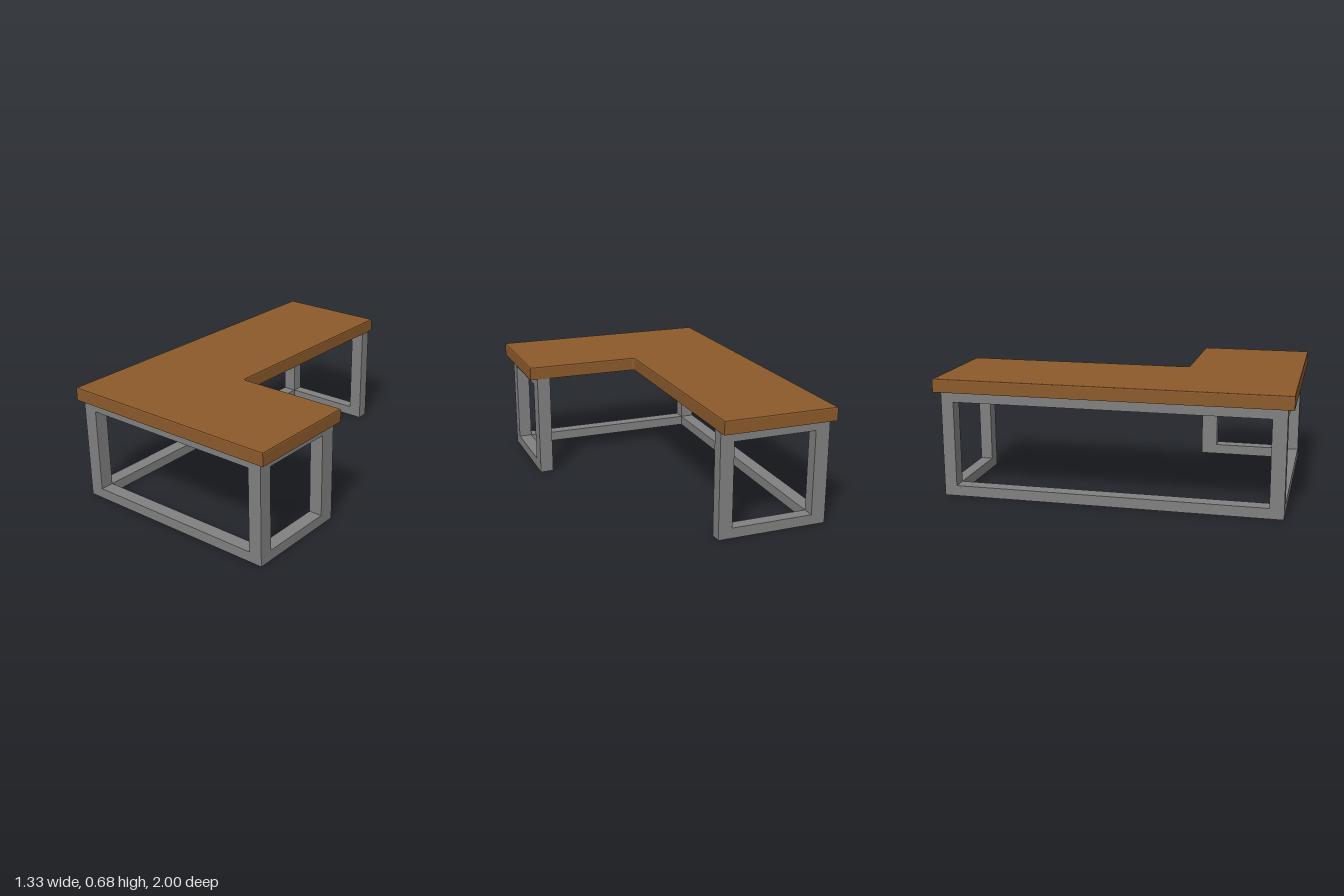
import * as THREE from 'three';

const wood = new THREE.MeshStandardMaterial({ color: 0x8b5a2b });
wood.name = 'brown wood';
const steel = new THREE.MeshStandardMaterial({ color: 0x808080 });
steel.name = 'grey steel';

const FRAME_TOP = 0.605, DESK_TOP = 0.682;
const RAIL_LOW = 0.06, RAIL_HIGH = 0.549;

// Box given by its limits on each axis
function bar(name, [x0, x1], [y0, y1], [z0, z1]) {
  const mesh = new THREE.Mesh(new THREE.BoxGeometry(x1 - x0, y1 - y0, z1 - z0), steel);
  mesh.position.set((x0 + x1) / 2, (y0 + y1) / 2, (z0 + z1) / 2);
  mesh.name = name;
  return mesh;
}

// L-shaped slab with a small fillet in the inner corner and a softened top edge
function makeTop() {
  const X = 0.665, inX = -0.003, inZ = 0.337, r = 0.02, bevel = 0.008;
  const s = new THREE.Shape(); // drawn with shape y = -z
  s.moveTo(-X, -1);
  s.lineTo(X, -1);
  s.lineTo(X, -inZ);
  s.lineTo(inX + r, -inZ);
  s.quadraticCurveTo(inX, -inZ, inX, -inZ + r);
  s.lineTo(inX, 1);
  s.lineTo(-X, 1);
  s.closePath();
  const geo = new THREE.ExtrudeGeometry(s, {
    depth: DESK_TOP - FRAME_TOP - bevel, curveSegments: 5,
    bevelEnabled: true, bevelThickness: bevel, bevelSize: bevel, bevelOffset: -bevel, bevelSegments: 2,
  });
  geo.rotateX(-Math.PI / 2);
  // Flatten the lower bevel so the underside keeps a square edge
  const p = geo.attributes.position;
  for (let i = 0; i < p.count; i++) p.setY(i, Math.max(0, p.getY(i)));
  geo.translate(0, FRAME_TOP, 0);
  geo.computeVertexNormals();
  const mesh = new THREE.Mesh(geo, wood);
  mesh.name = 'tabletop';
  return mesh;
}

export function createModel() {
  const model = new THREE.Group();
  model.name = 'corner desk';
  model.add(makeTop());

  const frame = new THREE.Group();
  frame.name = 'frame';
  model.add(frame);

  // Spans of the leg positions
  const outerX = [-0.645, -0.561], innerX = [-0.081, -0.001], endX = [0.543, 0.622];
  const frontZ = [0.886, 0.966], innerZ = [0.341, 0.439], backZ = [-0.96, -0.889];

  // Legs
  const legs = {
    frontCornerLeg: [outerX, frontZ], frontEndLeg: [endX, frontZ], innerEndLeg: [endX, innerZ],
    backCornerLeg: [outerX, backZ], backInnerLeg: [innerX, backZ],
  };
  for (const [name, [x, z]] of Object.entries(legs)) frame.add(bar(name, x, [0, FRAME_TOP], z));

  // Upper and lower rails between the legs; the inner edges stay open
  const rails = {
    FrontRail: [[outerX[1], endX[0]], frontZ],
    EndRail: [endX, [innerZ[1], frontZ[0]]],
    SideRail: [outerX, [backZ[1], frontZ[0]]],
    BackRail: [[outerX[1], innerX[0]], backZ],
  };
  for (const [name, [x, z]] of Object.entries(rails)) {
    frame.add(bar('lower' + name, x, [0, RAIL_LOW], z));
    frame.add(bar('upper' + name, x, [RAIL_HIGH, FRAME_TOP], z));
  }
  return model;
}
